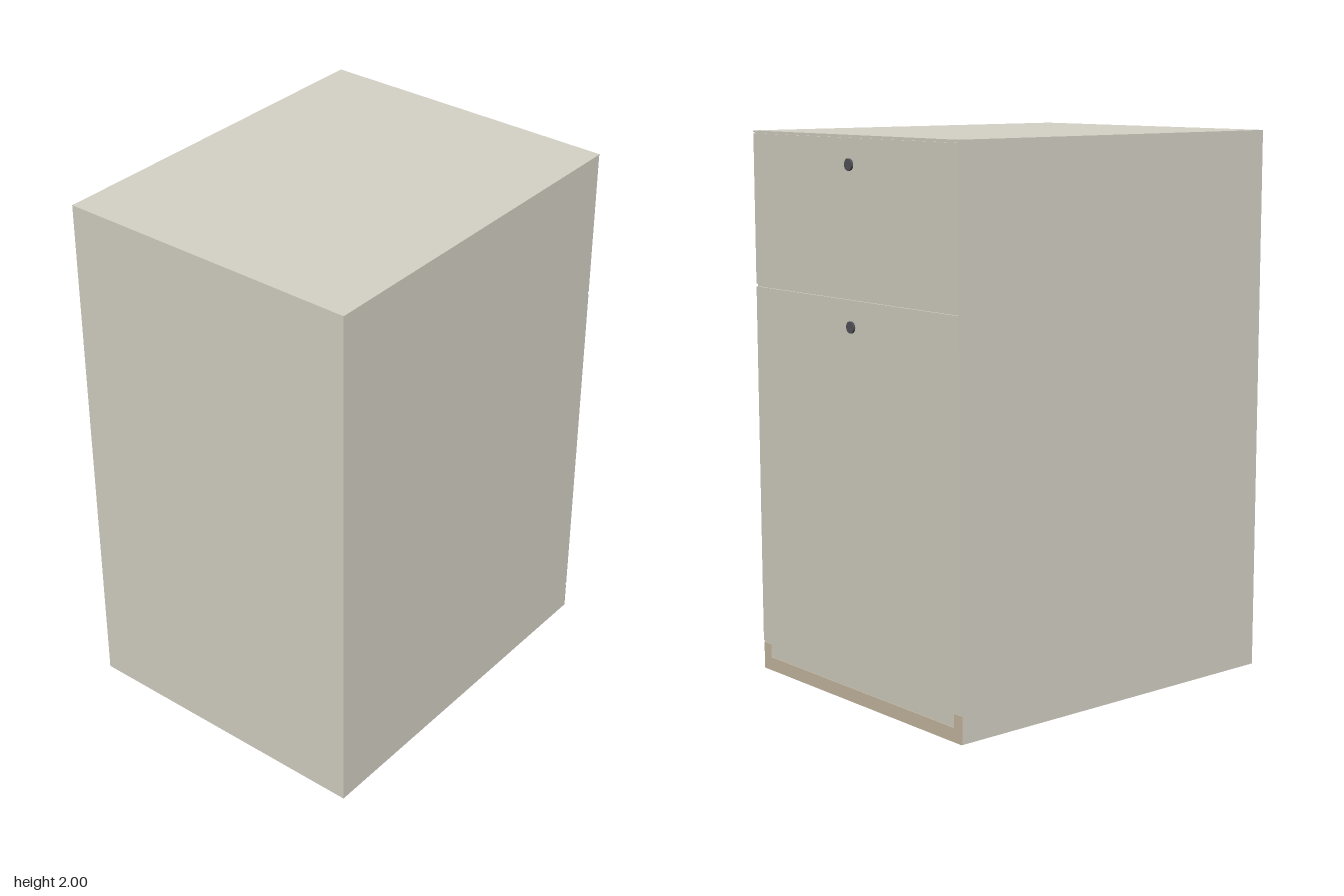
import * as THREE from 'three';

const bodyColor = 0xd6d2c6, trimColor = 0xcabca4, knobColor = 0x55555a;
const W = 1.16, H = 2, FRONT = -0.709, BACK = 0.717;
const CARCASS = FRONT + 0.007; // edge of the carcass behind the overlay fronts

export function createModel() {
  const group = new THREE.Group();
  group.name = 'drawerCabinet';
  const body = new THREE.MeshStandardMaterial({ color: bodyColor });
  const trim = new THREE.MeshStandardMaterial({ color: trimColor });
  const dark = new THREE.MeshStandardMaterial({ color: knobColor });

  // Box given by its minimum and maximum on each axis
  function panel(name, x0, x1, y0, y1, z0, z1, material = body) {
    const mesh = new THREE.Mesh(new THREE.BoxGeometry(x1 - x0, y1 - y0, z1 - z0), material);
    mesh.position.set((x0 + x1) / 2, (y0 + y1) / 2, (z0 + z1) / 2);
    mesh.name = name;
    group.add(mesh);
  }

  // Carcass: sides, top, bottom, closing panel and inner divider
  const t = 0.04, inner = W / 2 - t;
  for (const s of [-1, 1]) {
    const a = s * inner, b = s * W / 2;
    panel(s > 0 ? 'leftSide' : 'rightSide', Math.min(a, b), Math.max(a, b), 0, H, CARCASS, BACK);
  }
  panel('top', -inner, inner, H - t, H, CARCASS, BACK);
  panel('bottom', -inner, inner, 0, t, CARCASS, BACK);
  panel('closingPanel', -inner, inner, t, H - t, BACK - t, BACK);
  panel('divider', -inner, inner, 1.42, 1.46, CARCASS, BACK - t);

  // Top lip level with the drawer fronts
  panel('topLip', -W / 2, W / 2, 1.994, H, FRONT, CARCASS);

  // Drawer fronts, each with a round knob
  const knobGeometry = new THREE.CylinderGeometry(0.021, 0.021, 0.012, 20).rotateX(Math.PI / 2);
  const fronts = [
    { name: 'upperDrawerFront', y0: 1.448, y1: 1.99, knobY: 1.9 },
    { name: 'lowerDrawerFront', y0: 0.108, y1: 1.438, knobY: 1.345 },
  ];
  for (const f of fronts) {
    panel(f.name, -W / 2 + 0.002, W / 2 - 0.002, f.y0, f.y1, FRONT, CARCASS);
    const knob = new THREE.Mesh(knobGeometry, dark);
    knob.position.set(0, f.knobY, FRONT - 0.002);
    knob.name = f.name.replace('Front', 'Knob');
    group.add(knob);
  }

  // Plinth: a tan frame around a slightly set-back kick panel
  const plinthZ = CARCASS - 0.003;
  panel('plinthRail', -W / 2, W / 2, 0, 0.05, plinthZ, CARCASS, trim);
  for (const s of [-1, 1]) {
    const a = s * inner, b = s * W / 2;
    panel('plinthPost', Math.min(a, b), Math.max(a, b), 0.05, 0.1, plinthZ, CARCASS, trim);
  }
  panel('kickPanel', -inner, inner, t, 0.108, CARCASS + 0.002, CARCASS + 0.03);

  return group;
}
